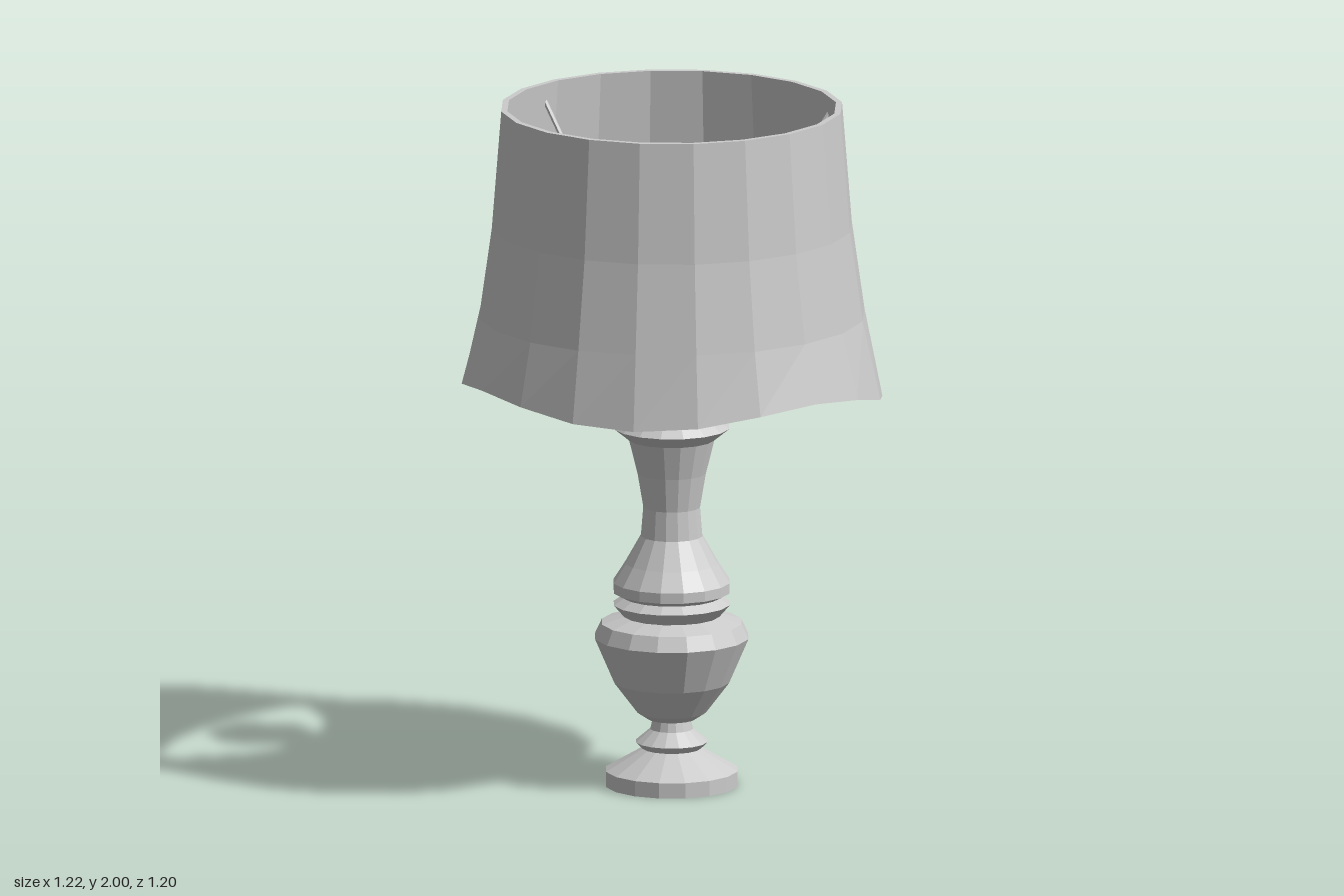
import * as THREE from 'three';

const material = new THREE.MeshStandardMaterial({ color: 0xcccccc, flatShading: true });

function add(parent, name, geometry) {
  const mesh = new THREE.Mesh(geometry, material);
  mesh.name = name;
  parent.add(mesh);
  return mesh;
}

function lathe(points, sides) {
  return new THREE.LatheGeometry(points.map(([r, y]) => new THREE.Vector2(r, y)), sides);
}

// Thin flared shade: closed loop of outer and inner rows, with a wavy lower hem
function shadeGeometry() {
  const sides = 20, wall = 0.018;
  const hem = [1.17, 1.18, 1.205, 1.22, 1.2, 1.16, 1.13, 1.135, 1.18, 1.22, 1.235];
  const pos = [], index = [];
  for (let i = 0; i < sides; i++) {
    const a = (i / sides) * Math.PI * 2;
    const front = Math.max(0, Math.cos(a));
    const outer = [
      [0.612 - 0.02 * front * front, hem[Math.min(i, sides - i)]],
      [0.56, 1.39], [0.523, 1.65], [0.495, 2],
    ];
    const inner = outer.map(([r, y]) => [r - wall, y]).reverse();
    for (const [r, y] of [...outer, ...inner]) pos.push(r * Math.sin(a), y, r * Math.cos(a));
  }
  const rows = 8;
  for (let i = 0; i < sides; i++) {
    for (let j = 0; j < rows; j++) {
      const n = (i + 1) % sides, k = (j + 1) % rows;
      const a = i * rows + j, b = n * rows + j, c = n * rows + k, d = i * rows + k;
      index.push(a, b, c, a, c, d);
    }
  }
  const g = new THREE.BufferGeometry();
  g.setAttribute('position', new THREE.Float32BufferAttribute(pos, 3));
  g.setIndex(index);
  g.computeVertexNormals();
  return g;
}

// Straight thin rod between two points
function rod(parent, name, from, to, radius) {
  const dir = to.clone().sub(from);
  const mesh = add(parent, name, new THREE.CylinderGeometry(radius, radius, dir.length(), 6));
  mesh.position.copy(from).addScaledVector(dir, 0.5);
  mesh.quaternion.setFromUnitVectors(new THREE.Vector3(0, 1, 0), dir.normalize());
}

export function createModel() {
  const lamp = new THREE.Group();
  lamp.name = 'tableLamp';
  const parts = new THREE.Group();
  parts.name = 'lampParts';
  parts.position.z = 0.01;
  lamp.add(parts);

  // Turned foot and pedestal
  add(parts, 'foot', lathe([
    [0, 0], [0.193, 0], [0.193, 0.045], [0.085, 0.108], [0.105, 0.128],
    [0.062, 0.165], [0.055, 0.195], [0, 0.195],
  ], 16));

  // Urn-shaped bowl
  add(parts, 'bowl', lathe([
    [0, 0.19], [0.07, 0.195], [0.1, 0.215], [0.168, 0.305], [0.225, 0.437],
    [0.205, 0.48], [0.14, 0.5], [0, 0.5],
  ], 16));

  // Rings, waisted column and cap
  add(parts, 'column', lathe([
    [0, 0.495], [0.14, 0.5], [0.17, 0.535], [0.14, 0.555], [0.17, 0.57], [0.17, 0.6],
    [0.135, 0.655], [0.09, 0.735], [0.083, 0.82], [0.1, 0.92], [0.125, 1.02],
    [0.168, 1.055], [0.14, 1.08], [0.135, 1.11], [0, 1.11],
  ], 16));

  // Lamp holder
  add(parts, 'stem', new THREE.CylinderGeometry(0.05, 0.05, 0.2, 8)).position.y = 1.18;
  add(parts, 'socketCollar', new THREE.CylinderGeometry(0.075, 0.075, 0.08, 8)).position.y = 1.29;

  // Faceted bulb, slightly fuller towards the back
  const bulb = lathe([[0, 1.32], [0.05, 1.32], [0.09, 1.45], [0.157, 1.62], [0, 1.79]], 6);
  bulb.rotateY(Math.PI / 6);
  const p = bulb.attributes.position;
  for (let i = 0; i < p.count; i++) {
    const s = 1 - p.getZ(i);
    p.setX(i, p.getX(i) * s);
    p.setZ(i, p.getZ(i) * s);
  }
  bulb.computeVertexNormals();
  add(parts, 'bulb', bulb);

  // Three rods carrying the shade
  for (let i = 0; i < 3; i++) {
    const a = (i * Math.PI * 2) / 3;
    const at = (r, y) => new THREE.Vector3(r * Math.sin(a), y, r * Math.cos(a));
    rod(parts, 'shadeRod', at(0.055, 1.3), at(0.49, 1.96), 0.007);
  }

  add(parts, 'shade', shadeGeometry());
  return lamp;
}
